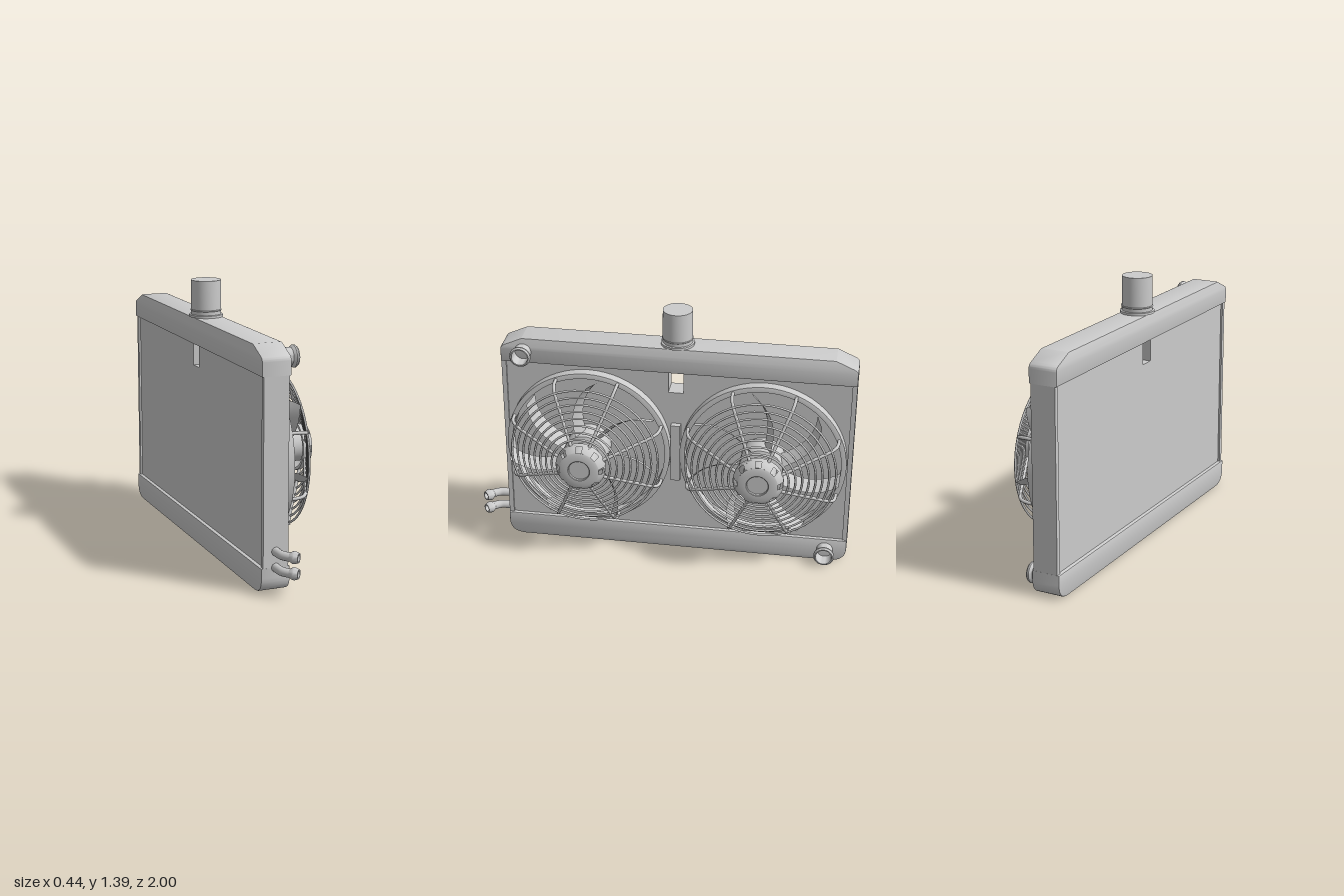
import * as THREE from 'three';
import { toCreasedNormals } from 'three/addons/utils/BufferGeometryUtils.js';

const grey = new THREE.MeshStandardMaterial({ color: 0xcccccc });
const thin = new THREE.MeshStandardMaterial({ color: 0xcccccc, side: THREE.DoubleSide });
const V2 = (p) => new THREE.Vector2(p[0], p[1]);

function add(parent, name, geometry, x = 0, y = 0, z = 0, material = grey) {
  const mesh = new THREE.Mesh(geometry, material);
  mesh.name = name;
  mesh.position.set(x, y, z);
  parent.add(mesh);
  return mesh;
}

// Turned part from [radius, height] points, with its axis along y
function turned(points, segments = 40, start = 0, length = Math.PI * 2) {
  return toCreasedNormals(new THREE.LatheGeometry(points.map(V2), segments, start, length), 0.6);
}

// Side profile (u = -z, v = y) extruded from x0 to x1
function slab(shape, x0, x1, bevel = 0) {
  const g = new THREE.ExtrudeGeometry(shape, {
    depth: x1 - x0 - 2 * bevel, bevelEnabled: bevel > 0, bevelSize: bevel,
    bevelThickness: bevel, bevelOffset: -bevel, bevelSegments: 2, curveSegments: 8,
  });
  g.translate(0, 0, x0 + bevel).rotateY(Math.PI / 2);
  return toCreasedNormals(g, 0.5);
}

function buildRadiator(root) {
  const L = -0.85, R = 1.0;
  // Top tank with sloped shoulders
  const top = new THREE.Shape();
  top.moveTo(L, 1.06);
  top.lineTo(R, 1.06);
  top.lineTo(R, 1.13);
  top.quadraticCurveTo(R, 1.15, R - 0.025, 1.16);
  top.lineTo(R - 0.115, 1.2);
  top.lineTo(L + 0.115, 1.2);
  top.lineTo(L + 0.025, 1.16);
  top.quadraticCurveTo(L, 1.15, L, 1.13);
  top.closePath();
  add(root, 'topTank', slab(top, -0.21, -0.06, 0.006));

  // Bottom tank with rounded lower corners
  const bottom = new THREE.Shape();
  bottom.moveTo(L, 0.13);
  bottom.lineTo(L, 0.08);
  bottom.quadraticCurveTo(L, 0, L + 0.09, 0);
  bottom.lineTo(R - 0.09, 0);
  bottom.quadraticCurveTo(R, 0, R, 0.08);
  bottom.lineTo(R, 0.13);
  bottom.closePath();
  add(root, 'bottomTank', slab(bottom, -0.21, -0.06, 0.006));

  // Core with a slot under the top tank
  const core = new THREE.Shape([
    [L + 0.02, 0.12], [R - 0.02, 0.12], [R - 0.02, 1.065], [0.11, 1.065],
    [0.11, 0.94], [0.03, 0.94], [0.03, 1.065], [L + 0.02, 1.065],
  ].map(V2));
  add(root, 'core', slab(core, -0.19, -0.08));
  for (const z of [0.837, -0.987]) {
    add(root, 'sideRail', new THREE.BoxGeometry(0.13, 0.95, 0.025), -0.135, 0.595, z);
  }
}

function buildFittings(root) {
  // Filler neck
  add(root, 'fillerNeck', turned([
    [0, 0], [0.087, 0], [0.087, 0.012], [0.078, 0.014], [0.078, 0.032], [0.081, 0.035],
    [0.078, 0.039], [0.077, 0.19], [0, 0.19],
  ]), -0.135, 1.2, -0.07);

  // Hose outlets with a bead near the mouth
  for (const [y, z] of [[1.125, 0.73], [0.065, -0.885]]) {
    const hose = add(root, 'hoseOutlet', turned([
      [0.044, -0.01], [0.044, 0.045], [0.055, 0.058], [0.055, 0.066], [0.048, 0.075],
      [0.042, 0.075], [0.042, -0.01],
    ], 28), -0.06, y, z, thin);
    hose.rotation.z = -Math.PI / 2;
  }

  // Two small bent cooler pipes with beaded ends
  for (const y of [0.21, 0.13]) {
    const path = new THREE.CatmullRomCurve3([
      [-0.135, y, 0.83], [-0.135, y, 0.88], [-0.13, y, 0.915], [-0.107, y, 0.95], [-0.073, y, 0.981],
    ].map((p) => new THREE.Vector3(...p)));
    add(root, 'coolerPipe', new THREE.TubeGeometry(path, 24, 0.022, 16), 0, 0, 0, thin);
    const bead = add(root, 'pipeBead', turned([
      [0.022, -0.045], [0.031, -0.028], [0.031, -0.02], [0.024, 0], [0.018, 0], [0.018, -0.03],
    ], 20), -0.073, y, 0.981, thin);
    bead.quaternion.setFromUnitVectors(new THREE.Vector3(0, 1, 0), path.getTangent(1));
  }
}

// Swept blade standing almost edge-on: a plane bent by rule
function bladeGeometry(tipAngle, dir) {
  const g = new THREE.PlaneGeometry(1, 1, 14, 3);
  const p = g.attributes.position;
  for (let i = 0; i < p.count; i++) {
    const t = p.getX(i) + 0.5, v = p.getY(i);
    const r = 0.1 + 0.31 * t;
    const a = tipAngle + 0.34 * (1 - t * t) + (v * 0.04 + 0.02 * v * v) / r;
    p.setXYZ(i, dir * r * Math.cos(a), r * Math.sin(a), 0.018 + v * 0.078);
  }
  g.computeVertexNormals();
  return g;
}

// Fan facing local +z; dir = -1 gives the mirrored sweep
function buildFan(dir) {
  const fan = new THREE.Group();
  const axial = (pts, seg, start, len) => turned(pts, seg, start, len).rotateX(Math.PI / 2);

  add(fan, 'shroudRing', axial([
    [0.41, -0.08], [0.437, -0.08], [0.437, -0.028], [0.425, -0.025], [0.41, -0.025], [0.41, -0.08],
  ], 64), 0, 0, 0, thin);
  add(fan, 'motor', axial([[0.115, -0.08], [0.115, 0.06], [0.085, 0.07], [0.085, 0.18], [0, 0.18]], 32));

  for (let i = 0; i < 7; i++) {
    add(fan, 'blade', bladeGeometry(-0.35 + (i * Math.PI * 2) / 7, dir), 0, 0, 0, thin);
  }

  // Cage: cone of wire rings carried by eight bent ribs
  const rings = 8;
  for (let i = 0; i < rings; i++) {
    const t = i / (rings - 1);
    add(fan, 'cageRing', new THREE.TorusGeometry(0.39 - 0.235 * t, 0.006, 6, 56), 0, 0, 0.068 + 0.096 * t);
  }
  const ribPath = new THREE.CatmullRomCurve3([
    [0.424, 0, -0.04], [0.422, 0, 0.01], [0.412, 0, 0.043], [0.385, 0, 0.066],
    [0.3, 0, 0.1], [0.2, 0, 0.141], [0.12, 0, 0.172],
  ].map((p) => new THREE.Vector3(...p)));
  const rib = new THREE.TubeGeometry(ribPath, 24, 0.009, 8);
  for (let i = 0; i < 8; i++) {
    add(fan, 'cageRib', rib).rotation.z = ((i + 0.5) * Math.PI) / 4;
  }

  // Hub cap: rim, slotted bevel and recessed face
  add(fan, 'hubRim', axial([[0.115, 0.155], [0.13, 0.155], [0.131, 0.176], [0.126, 0.184]], 48), 0, 0, 0, thin);
  for (let i = 0; i < 8; i++) {
    add(fan, 'hubBevel', axial([[0.126, 0.184], [0.117, 0.202], [0.104, 0.214]], 5,
      (i * Math.PI) / 4 + 0.13, Math.PI / 4 - 0.26), 0, 0, 0, thin);
  }
  add(fan, 'hubFace', axial([
    [0.104, 0.214], [0.092, 0.219], [0.058, 0.219], [0.055, 0.216], [0.055, 0.205], [0, 0.205],
  ], 48), 0, 0, 0, thin);
  return fan;
}

export function createModel() {
  const root = new THREE.Group();
  root.name = 'radiatorWithFans';
  buildRadiator(root);
  buildFittings(root);

  for (const [z, dir] of [[0.39, 1], [-0.535, -1]]) {
    const fan = buildFan(dir);
    fan.name = 'fan';
    fan.rotation.y = Math.PI / 2;
    fan.position.set(0, 0.6, z);
    root.add(fan);
  }
  // Bridge plate joining the two shrouds
  add(root, 'shroudBridge', new THREE.BoxGeometry(0.035, 0.33, 0.05), -0.065, 0.595, -0.0725);
  return root;
}
